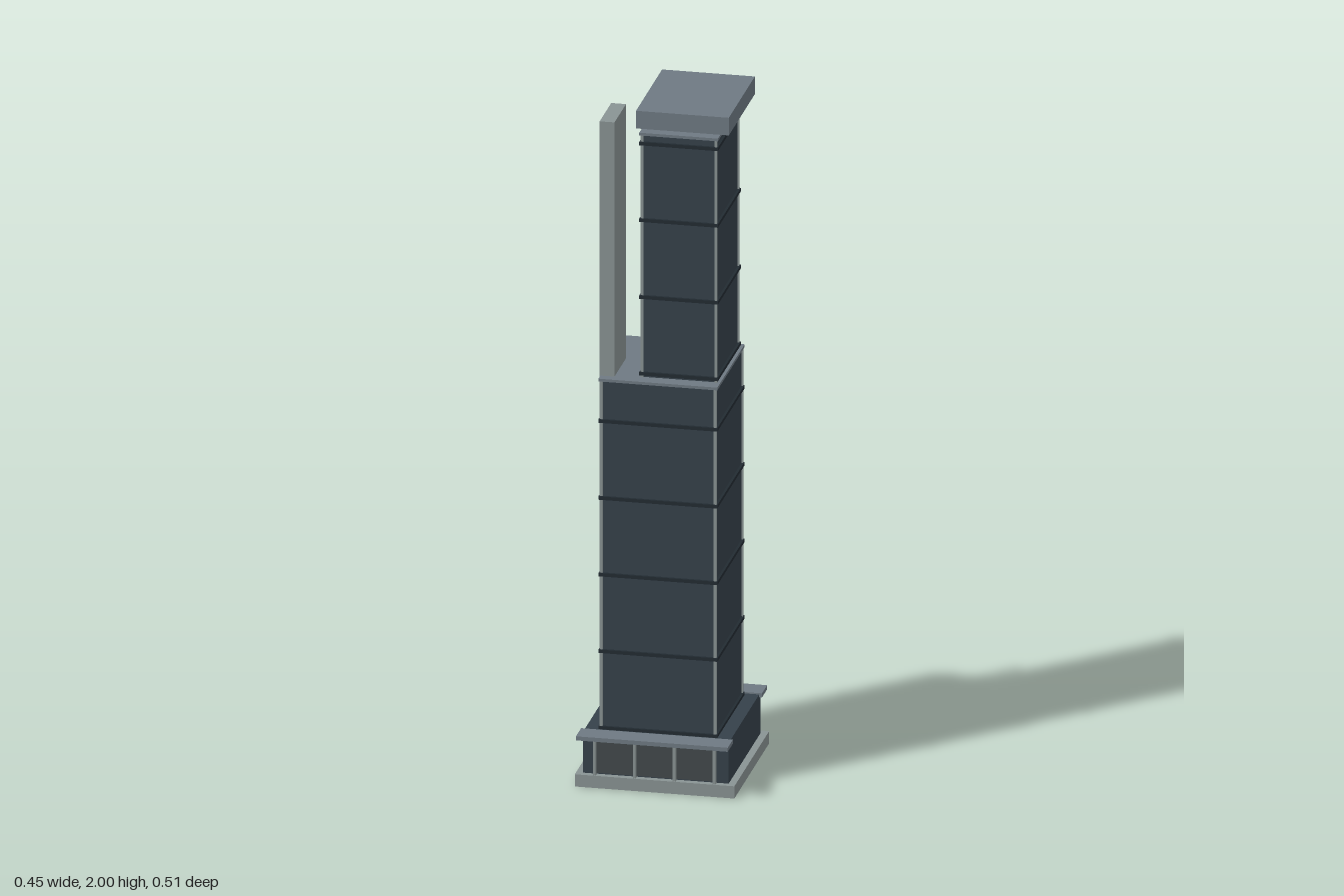
import * as THREE from 'three';

const mat = (color) => new THREE.MeshStandardMaterial({ color });

export function createModel() {
  const model = new THREE.Group();
  const glass = mat(0x35414a), band = mat(0x222b32), slab = mat(0x6e7982);
  const stone = mat(0x899393), pane = mat(0x42494b), red = mat(0x6a2238);

  // box given by its limits on each axis
  function box(name, material, x0, x1, y0, y1, z0, z1, parent = model) {
    const mesh = new THREE.Mesh(new THREE.BoxGeometry(x1 - x0, y1 - y0, z1 - z0), material);
    mesh.position.set((x0 + x1) / 2, (y0 + y1) / 2, (z0 + z1) / 2);
    mesh.name = name;
    parent.add(mesh);
    return mesh;
  }

  // glazed shaft with corner posts, floor bands and a roof slab
  function tower(name, x0, x1, y0, y1, z0, z1, bands) {
    const g = new THREE.Group();
    g.name = name;
    model.add(g);
    const p = 0.004, o = 0.007;
    box('shaft', glass, x0, x1, y0, y1 - 0.008, z0, z1, g);
    for (const x of [x0, x1]) for (const z of [z0, z1])
      box('cornerPost', stone, x - p, x + p, y0, y1 - 0.008, z - p, z + p, g);
    for (const y of bands)
      box('floorBand', band, x0 - o, x1 + o, y - 0.005, y + 0.005, z0 - o, z1 + o, g);
    box('roofSlab', slab, x0 - o, x1 + o, y1 - 0.008, y1, z0 - o, z1 + o, g);
  }

  // base and podium
  box('baseSlab', stone, -0.226, 0.226, 0, 0.036, -0.227, 0.225);
  box('podium', glass, -0.207, 0.206, 0.036, 0.156, -0.208, 0.207);

  // shopfronts and canopies, front and back
  for (const s of [1, -1]) {
    const front = new THREE.Group();
    front.name = s > 0 ? 'frontEntrance' : 'backEntrance';
    model.add(front);
    const span = (a, b) => [Math.min(s * a, s * b), Math.max(s * a, s * b)];
    box('canopy', slab, -0.216, 0.214, 0.148, 0.16, ...span(0.189, 0.256), front);
    box('shopWindow', pane, -0.17, 0.166, 0.04, 0.14, ...span(0.2, 0.211), front);
    for (let i = 0; i < 4; i++) {
      const x = -0.171 + i * 0.113;
      box('column', stone, x - 0.004, x + 0.004, 0.036, 0.148, ...span(0.207, 0.224), front);
    }
  }

  // stepped towers
  tower('lowerTower', -0.163, 0.16, 0.15, 1.19, -0.172, 0.169, [0.16, 0.386, 0.612, 0.838, 1.065]);
  tower('upperTower', -0.049, 0.16, 1.2, 1.922, -0.124, 0.161, [1.211, 1.437, 1.664, 1.89]);

  // roof cap hovering above the upper tower
  box('roofCap', slab, -0.057, 0.206, 1.948, 2, -0.133, 0.205);

  // tall side fin and vertical blade sign
  box('sideFin', stone, -0.172, -0.13, 0.156, 1.94, 0, 0.15);
  box('bladeSign', red, -0.176, -0.171, 1.14, 1.574, -0.054, -0.024);

  return model;
}
